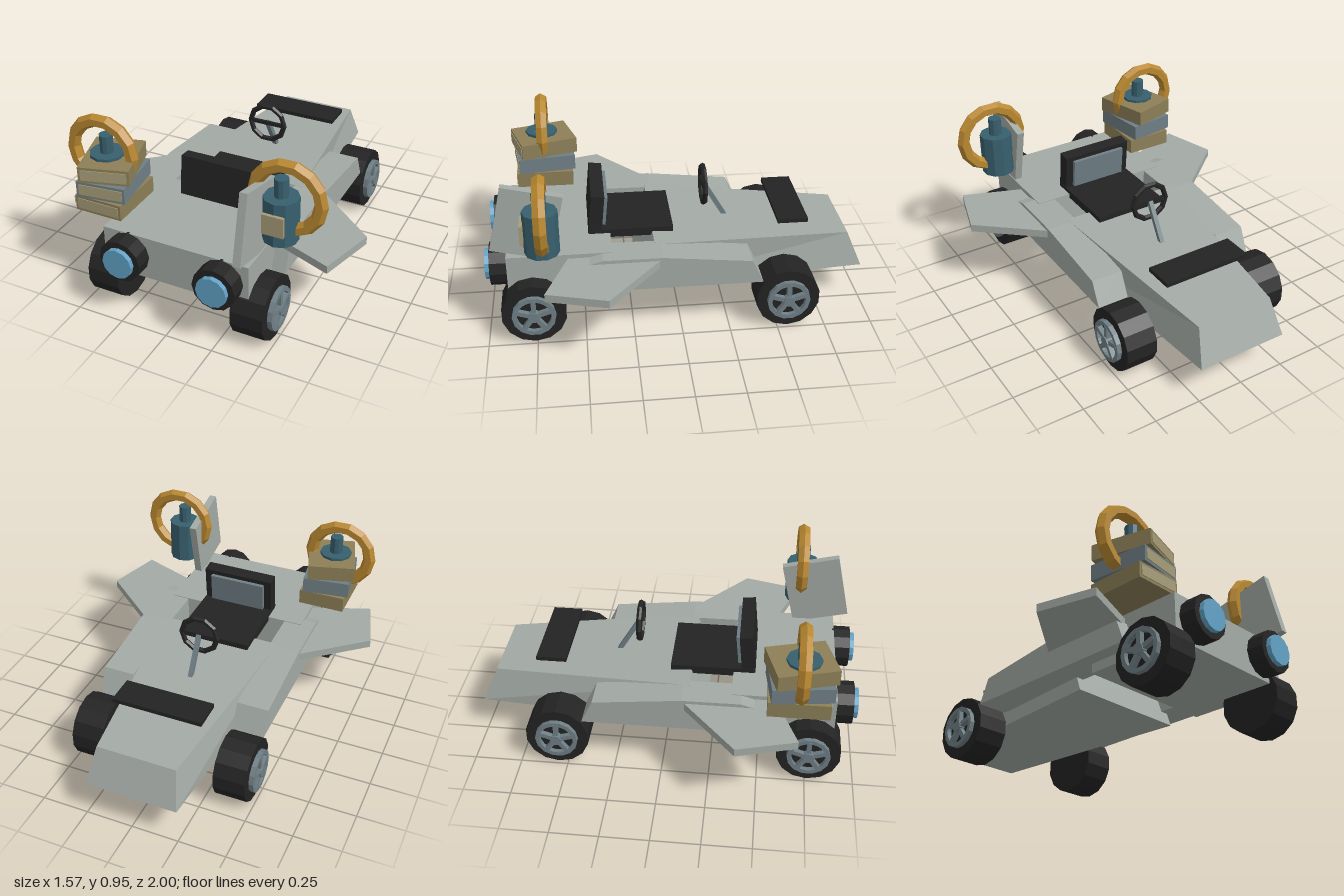
import * as THREE from 'three';

const mat = (name, color) => {
  const m = new THREE.MeshStandardMaterial({ color });
  m.name = name;
  return m;
};

export function createModel() {
  const root = new THREE.Group();
  root.name = 'gliderCar';
  const grey = mat('bodyGrey', 0xa3aaa5), black = mat('rubberBlack', 0x232323),
    steel = mat('steel', 0x6f7f85), blue = mat('glowBlue', 0x62a2c6),
    gold = mat('gold', 0xb98830), teal = mat('teal', 0x38606e),
    tan = mat('crateTan', 0x8c7f57), label = mat('labelCream', 0xa69c78);

  // Faceted mesh helper
  const add = (name, geo, material, x = 0, y = 0, z = 0, parent = root) => {
    const g = geo.index ? geo.toNonIndexed() : geo;
    g.computeVertexNormals();
    const m = new THREE.Mesh(g, material);
    m.name = name;
    m.position.set(x, y, z);
    parent.add(m);
    return m;
  };
  // Box from its limits
  const box = (name, material, x0, x1, y0, y1, z0, z1, parent = root) =>
    add(name, new THREE.BoxGeometry(x1 - x0, y1 - y0, z1 - z0), material,
      (x0 + x1) / 2, (y0 + y1) / 2, (z0 + z1) / 2, parent);
  const extrude = (pts, depth, holes = []) => {
    const s = new THREE.Shape(pts.map(p => new THREE.Vector2(p[0], p[1])));
    s.holes = holes;
    return new THREE.ExtrudeGeometry(s, { depth, bevelEnabled: false, curveSegments: 14 });
  };
  // Side profile given as [z, y], extruded from x0 to x1
  const sidePanel = (name, pts, x0, x1) => {
    const g = extrude(pts.map(([z, y]) => [-z, y]), x1 - x0);
    g.rotateY(Math.PI / 2);
    return add(name, g, grey, x0, 0, 0);
  };

  // Tapered front hull: a box whose corners are moved to the wedge
  const hull = new THREE.BoxGeometry(2, 2, 2);
  const hp = hull.attributes.position;
  for (let i = 0; i < hp.count; i++) {
    const sx = hp.getX(i), top = hp.getY(i) > 0, back = hp.getZ(i) > 0;
    const [w, y, z] = back ? (top ? [0.335, 0.452, 0.13] : [0.34, 0.195, 0.215])
      : (top ? [0.212, 0.385, -0.92] : [0.245, 0.195, -1]);
    hp.setXYZ(i, sx * w, y, z);
  }
  add('frontHull', hull, grey);
  box('rearHull', grey, -0.392, 0.392, 0.22, 0.455, 0.35, 0.885);
  box('hoodPlate', black, -0.24, 0.24, 0.48, 0.502, -0.69, -0.53);

  for (const s of [1, -1]) {
    // Side pods
    const pod = [[-0.42, 0.27], [0.63, 0.27], [0.585, 0.4], [0.4, 0.452], [0.1, 0.45], [-0.36, 0.4]];
    sidePanel('sidePod', pod, s > 0 ? 0.295 : -0.465, s > 0 ? 0.465 : -0.295);

    // Wings
    const wing = extrude([[0.34, 0.02], [0.465, 0.115], [0.785, 0.385], [0.7, 0.69], [0.38, 0.57]]
      .map(([x, z]) => [s * x, z]), 0.042);
    wing.rotateX(Math.PI / 2);
    add('wing', wing, grey, 0, 0.433, 0);

    // Thrusters
    const tube = new THREE.CylinderGeometry(0.112, 0.112, 0.1, 12).rotateX(Math.PI / 2);
    add('thruster', tube, black, s * 0.253, 0.345, 0.925);
    const glow = new THREE.CylinderGeometry(0.08, 0.08, 0.06, 12).rotateX(Math.PI / 2);
    add('thrusterGlow', glow, blue, s * 0.253, 0.345, 0.97);

    // Wheels with five-spoke rims
    for (const z of [-0.552, 0.76]) {
      const wheel = new THREE.Group();
      wheel.name = 'wheel';
      wheel.position.set(s * 0.395, 0.167, z);
      wheel.rotation.y = s * Math.PI / 2;
      root.add(wheel);
      const tyre = new THREE.CylinderGeometry(0.167, 0.167, 0.17, 14).rotateX(Math.PI / 2);
      add('tyre', tyre, black, 0, 0, 0, wheel);
      const outer = new THREE.Path().absarc(0, 0, 0.088, 0, Math.PI * 2, true);
      const circle = Array.from({ length: 14 }, (_, i) =>
        [0.112 * Math.cos(i * Math.PI / 7), 0.112 * Math.sin(i * Math.PI / 7)]);
      add('rim', extrude(circle, 0.03, [outer]), steel, 0, 0, 0.08, wheel);
      const hub = new THREE.CylinderGeometry(0.03, 0.03, 0.04, 10).rotateX(Math.PI / 2);
      add('hub', hub, steel, 0, 0, 0.1, wheel);
      for (let i = 0; i < 5; i++) {
        const spoke = new THREE.BoxGeometry(0.024, 0.08, 0.03).translate(0, 0.055, 0);
        add('spoke', spoke, steel, 0, 0, 0.097, wheel).rotation.z = i * Math.PI * 0.4;
      }
    }

    // Flasks with a gold hoop each
    add('flask', new THREE.CylinderGeometry(0.088, 0.088, 0.23, 10), teal, s * 0.467, 0.645, 0.695);
    add('flaskNeck', new THREE.CylinderGeometry(0.035, 0.035, 0.11, 10), teal, s * 0.467, 0.8, 0.695);
    add('hoop', new THREE.TorusGeometry(0.167, 0.035, 6, 14), gold, s * 0.495, 0.752, 0.69);
  }
  box('flaskLabel', label, 0.413, 0.522, 0.6, 0.705, 0.78, 0.797);

  // Single leaning tail fin
  sidePanel('tailFin', [[0.88, 0.852], [0.58, 0.78], [0.66, 0.432], [0.96, 0.502]], 0.347, 0.387);

  // Seat
  box('seatCushion', black, -0.2, 0.2, 0.43, 0.475, 0.02, 0.46);
  const seatBack = new THREE.Group();
  seatBack.name = 'seatBack';
  seatBack.position.set(0, 0.455, 0.43);
  seatBack.rotation.x = -0.1;
  root.add(seatBack);
  box('backrest', black, -0.197, 0.197, 0, 0.215, -0.035, 0.035, seatBack);
  box('backPad', steel, -0.155, 0.155, 0.03, 0.19, -0.055, -0.03, seatBack);

  // Steering wheel and column
  add('steeringWheel', new THREE.TorusGeometry(0.1, 0.015, 6, 10), black, 0, 0.61, -0.162);
  box('steeringBar', black, -0.1, 0.1, 0.6, 0.62, -0.17, -0.155);
  const column = new THREE.BoxGeometry(0.024, 0.23, 0.024);
  add('steeringColumn', column, steel, 0, 0.515, -0.225).rotation.x = 0.53;

  // Stack of crates, each turned a little more
  [[0.52, 0, tan], [0.61, 0.13, steel], [0.703, 0.28, tan]].forEach(([y, turn, m]) => {
    const crate = new THREE.Group();
    crate.name = 'crate';
    crate.position.set(-0.447, y, 0.685);
    crate.rotation.y = turn;
    root.add(crate);
    box('crateBox', m, -0.128, 0.128, -0.042, 0.042, -0.155, 0.155, crate);
    box('crateLabel', label, -0.115, 0.115, -0.028, 0.028, 0.15, 0.159, crate);
  });
  return root;
}
